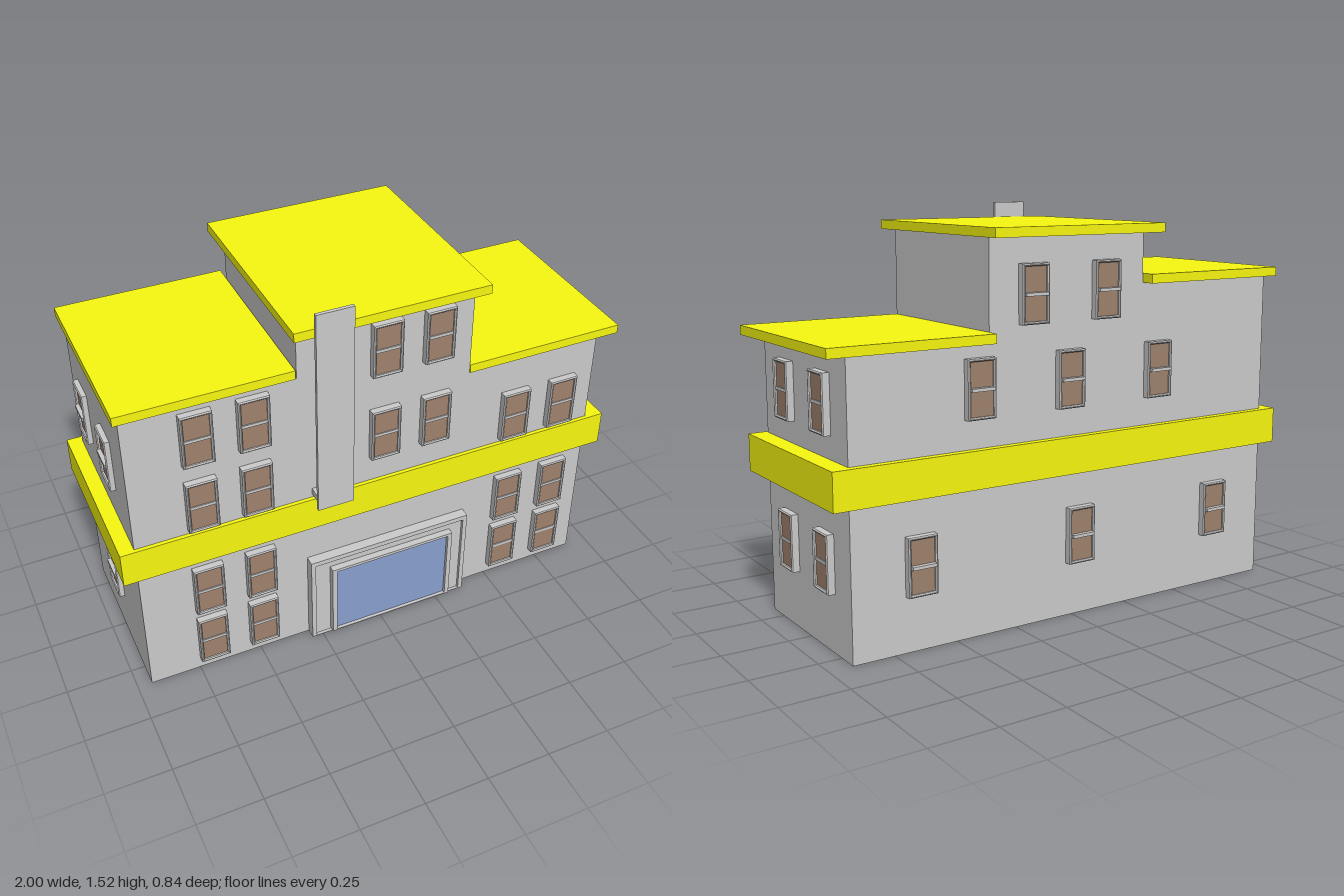
import * as THREE from 'three';

const mat = (color) => new THREE.MeshStandardMaterial({ color });
const grey = mat(0xcccccc), yellow = mat(0xf8f810), brown = mat(0x9f826e), blue = mat(0x899fce);

// Box given by its min and max on each axis
function box(name, [x0, x1], [y0, y1], [z0, z1], material = grey) {
  const mesh = new THREE.Mesh(new THREE.BoxGeometry(x1 - x0, y1 - y0, z1 - z0), material);
  mesh.position.set((x0 + x1) / 2, (y0 + y1) / 2, (z0 + z1) / 2);
  mesh.name = name;
  return mesh;
}

const polygon = (points) => points.map(([x, y]) => new THREE.Vector2(x, y));
const rectangle = (x0, x1, y0, y1) => polygon([[x0, y0], [x1, y0], [x1, y1], [x0, y1]]);

// Extruded outline between two depths, with an optional opening
function extrude(name, outline, z0, z1, hole, bevel = 0) {
  const shape = new THREE.Shape(outline);
  if (hole) shape.holes.push(new THREE.Path(hole));
  const geometry = new THREE.ExtrudeGeometry(shape, {
    depth: z1 - z0 - bevel, bevelEnabled: bevel > 0, bevelSize: bevel,
    bevelThickness: bevel, bevelOffset: -bevel, bevelSegments: 1,
  });
  geometry.translate(0, 0, z0);
  const mesh = new THREE.Mesh(geometry, grey);
  mesh.name = name;
  return mesh;
}

const W = 0.115, H = 0.215;

// Sash window: bevelled casing, recessed panes and a cross rail, facing +z
function makeWindow(depth, rail) {
  const g = new THREE.Group();
  g.name = 'window';
  const w = W / 2, h = H / 2, t = 0.01;
  g.add(
    extrude('casing', rectangle(-w, w, -h, h), 0, depth,
      rectangle(-w + t, w - t, -h + t, h - t), 0.004),
    box('panes', [-w + t, w - t], [-h + t, h - t], [0, depth - 0.01], brown),
    box('crossRail', [-w + t, w - t], [-0.006, 0.006], [0, rail]),
  );
  return g;
}

export function createModel() {
  const model = new THREE.Group();
  model.name = 'building';
  const back = -0.335, front = 0.34, left = 0.91, right = -0.945;

  // Stepped wall block
  model.add(extrude('walls', polygon([
    [right, 0], [left, 0], [left, 1.065], [0.36, 1.065], [0.36, 1.425],
    [-0.32, 1.425], [-0.32, 1.235], [right, 1.235],
  ]), back, front));

  // Floor band and flat roofs
  model.add(
    box('floorBand', [-1, 0.98], [0.55, 0.69], [-0.363, 0.355], yellow),
    box('rightRoof', [-0.963, -0.325], [1.235, 1.27], [-0.385, 0.345], yellow),
    box('centreRoof', [-0.352, 0.387], [1.425, 1.46], [-0.42, 0.405], yellow),
    box('leftRoof', [0.36, 1], [1.062, 1.097], [-0.385, 0.345], yellow),
  );

  // Upright sign panel and its foot bracket
  model.add(
    box('signPanel', [-0.28, -0.14], [0.69, 1.52], [0.406, 0.42]),
    box('signBracket', [-0.27, -0.15], [0.705, 0.73], [front, 0.386]),
  );

  // Entrance: outer surround, back panel, inner frame and glass
  const door = new THREE.Group();
  door.name = 'entrance';
  door.add(
    extrude('surround', rectangle(-0.295, 0.375, 0, 0.395), front, 0.38,
      rectangle(-0.277, 0.357, 0.002, 0.375)),
    box('backPanel', [-0.28, 0.36], [0, 0.38], [front, 0.368]),
    extrude('doorFrame', rectangle(-0.213, 0.303, 0.012, 0.34), 0.36, 0.395,
      rectangle(-0.195, 0.285, 0.016, 0.328)),
    box('doorGlass', [-0.2, 0.29], [0.014, 0.332], [0.36, 0.382], blue),
  );
  model.add(door);

  // Place a window by centre and facing angle
  const place = (name, x, y, z, angle, depth = 0.03, rail = 0.024) => {
    const w = makeWindow(depth, rail);
    w.name = name;
    w.position.set(x, y, z);
    w.rotation.y = angle;
    model.add(w);
  };

  // Front windows: columns and their row heights
  const frontColumns = [
    [[-0.69, -0.485], [0.157, 0.412, 0.817, 1.107]],
    [[0.015, 0.22], [0.908, 1.273]],
    [[0.565, 0.77], [0.157, 0.412, 0.817]],
  ];
  for (const [xs, ys] of frontColumns)
    for (const x of xs) for (const y of ys) place('frontWindow', x, y, front, 0);

  // Back windows
  const backRows = [
    [0.312, [0.647, -0.03, -0.69]],
    [0.905, [0.405, 0.02, -0.39]],
    [1.222, [0.18, -0.14]],
  ];
  for (const [y, xs] of backRows)
    for (const x of xs) place('backWindow', x, y, back, Math.PI, 0.03, 0.038);

  // Side windows
  for (const z of [0.145, -0.152])
    for (const y of [0.325, 0.882]) place('leftWindow', left, y, z, Math.PI / 2);
  for (const [y, z] of [[0.315, 0.0], [0.943, -0.17], [0.943, 0.12]])
    place('rightWindow', right, y, z, -Math.PI / 2, 0.022, 0.027);

  return model;
}
